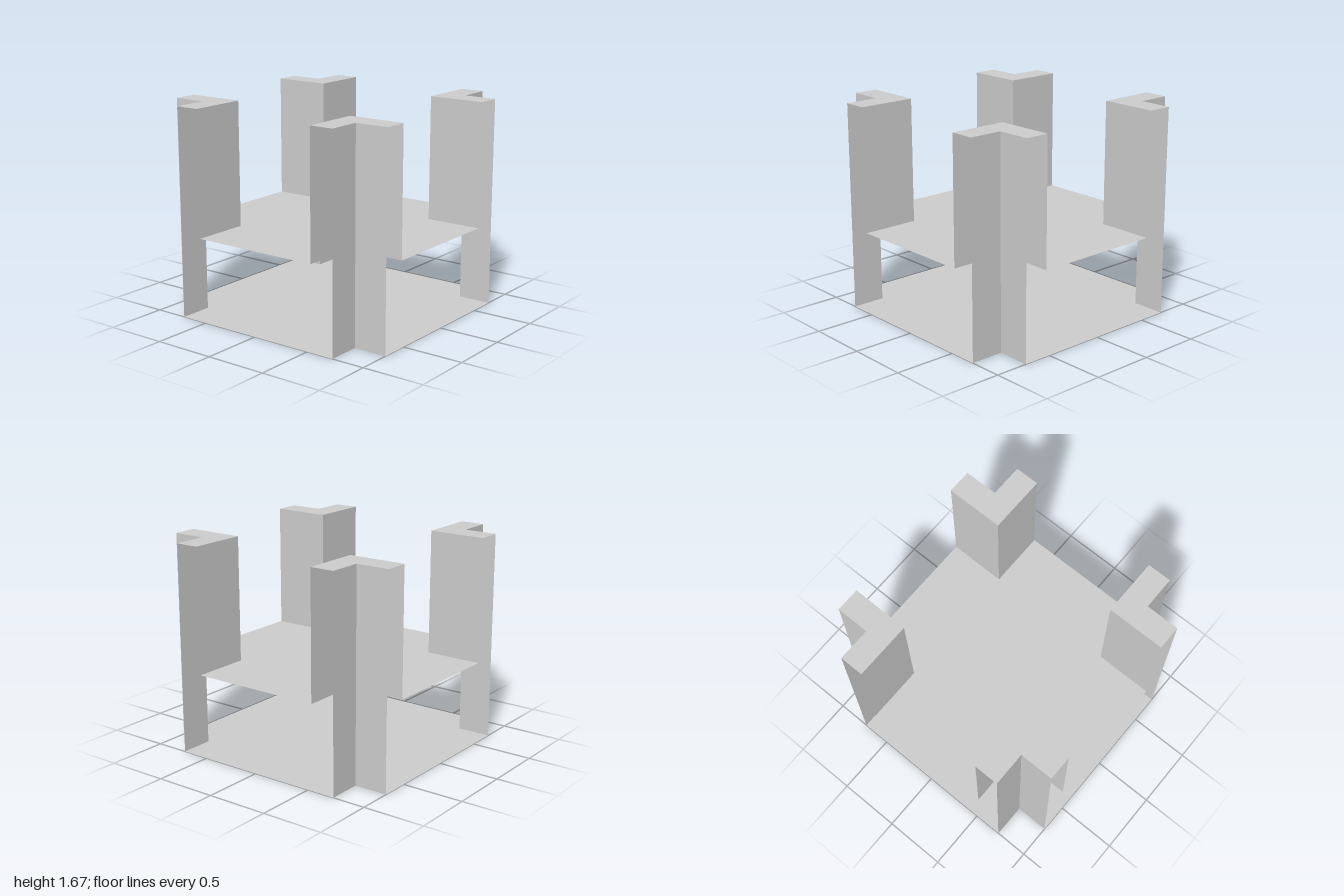
import * as THREE from 'three';

const OUT = 1, NOTCH = 0.73, INNER = 0.535; // half extents in plan
const DECK = 0.67, TOP = 1.67;

const material = new THREE.MeshStandardMaterial({
  color: 0xcccccc, flatShading: true, side: THREE.DoubleSide,
});

// Flat horizontal sheet from [x, z] plan points at height y, facing up
function sheet(name, points, y) {
  const shape = new THREE.Shape(points.map(([x, z]) => new THREE.Vector2(x, -z)));
  const geometry = new THREE.ShapeGeometry(shape).rotateX(-Math.PI / 2).translate(0, y, 0);
  const mesh = new THREE.Mesh(geometry, material);
  mesh.name = name;
  return mesh;
}

// Square plan with a square notch cut from each corner
function crossPlan(n) {
  return [
    [n, OUT], [n, n], [OUT, n], [OUT, -n], [n, -n], [n, -OUT],
    [-n, -OUT], [-n, -n], [-OUT, -n], [-OUT, n], [-n, n], [-n, OUT],
  ];
}

// Pair of upright sheets meeting at (d, d) and running out to the edges
function cornerWalls(name, d, y0, y1) {
  const group = new THREE.Group();
  group.name = name;
  const width = OUT - d, mid = (OUT + d) / 2;
  for (const turned of [false, true]) {
    const geometry = new THREE.PlaneGeometry(width, y1 - y0);
    if (turned) geometry.rotateY(Math.PI / 2);
    const wall = new THREE.Mesh(geometry, material);
    wall.name = turned ? name + 'Side' : name + 'Front';
    wall.position.set(turned ? d : mid, (y0 + y1) / 2, turned ? mid : d);
    group.add(wall);
  }
  return group;
}

export function createModel() {
  const model = new THREE.Group();
  model.name = 'tieredFrame';

  // Ground sheet and raised deck
  model.add(sheet('floor', crossPlan(NOTCH), 0));
  model.add(sheet('deck', crossPlan(INNER), DECK));

  // Four L-shaped corner posts, open at their outer ends
  const capPlan = [
    [INNER, INNER], [INNER, OUT], [NOTCH, OUT],
    [NOTCH, NOTCH], [OUT, NOTCH], [OUT, INNER],
  ];
  for (let i = 0; i < 4; i++) {
    const post = new THREE.Group();
    post.name = 'cornerPost' + (i + 1);
    post.add(cornerWalls('outerWall', NOTCH, 0, TOP));
    post.add(cornerWalls('innerWall', INNER, DECK, TOP));
    post.add(sheet('cap', capPlan, TOP));
    post.rotation.y = i * Math.PI / 2;
    model.add(post);
  }
  return model;
}
